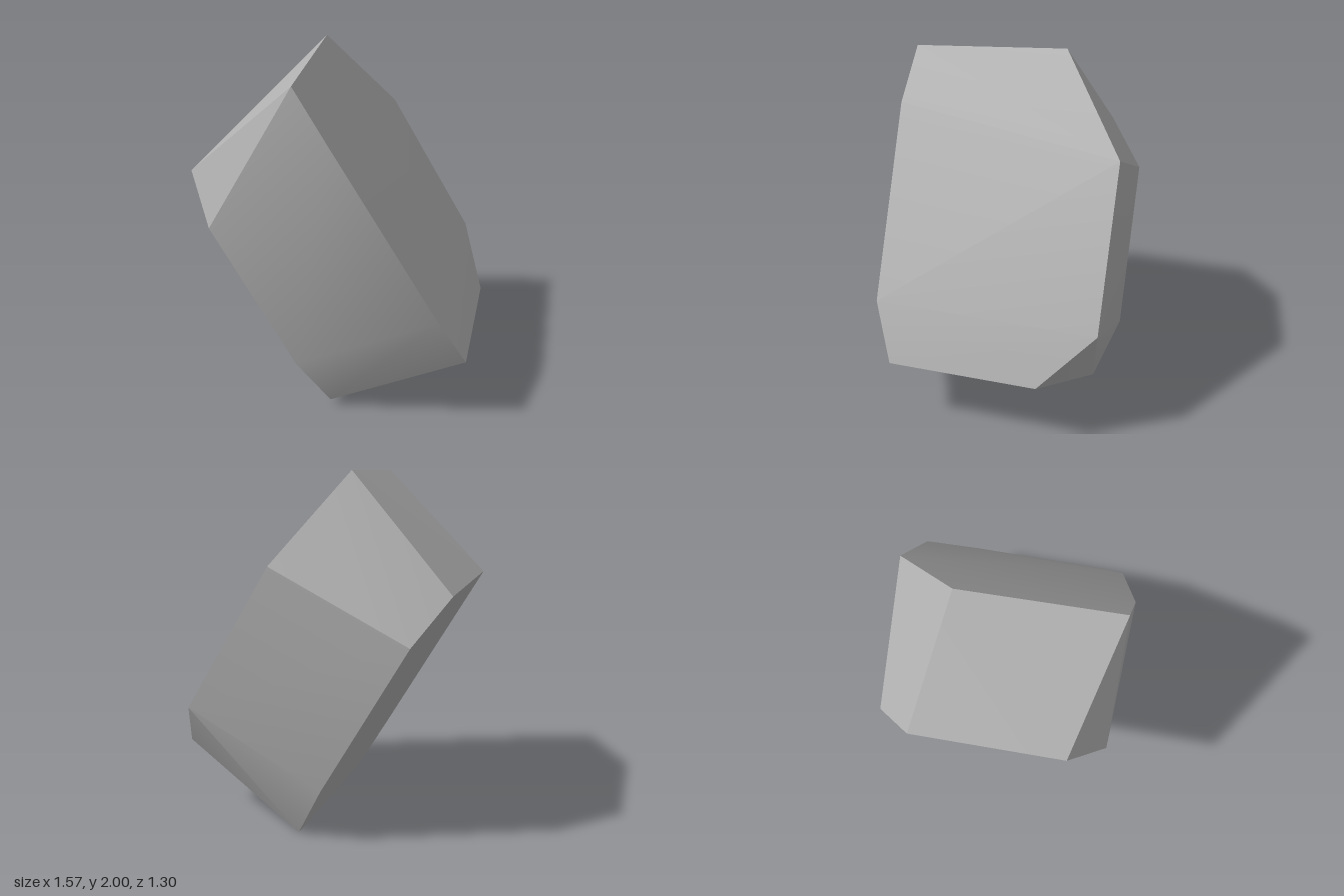
import * as THREE from 'three';
import { ConvexGeometry } from 'three/addons/geometries/ConvexGeometry.js';
import { toCreasedNormals } from 'three/addons/utils/BufferGeometryUtils.js';

// Eight corners of the slab's upper broad face, and the matching eight below
const upperRing = [
  [-0.18, 2.0, -0.26], [-0.16, 1.95, 0.61], [0.03, 1.67, 0.65], [0.62, 0.7, 0.62],
  [0.77, 0.4, 0.5], [0.78, 0.41, -0.35], [0.64, 0.71, -0.65], [0.16, 1.52, -0.64],
];
const lowerRing = [
  [-0.78, 1.38, -0.43], [-0.79, 1.38, 0.42], [-0.63, 1.14, 0.63], [-0.17, 0.34, 0.62],
  [0.0, 0.04, 0.5], [0.04, 0.0, -0.53], [-0.13, 0.31, -0.65], [-0.61, 1.14, -0.64],
];

export function createModel() {
  const group = new THREE.Group();
  group.name = 'rock';

  const stone = new THREE.MeshStandardMaterial({ color: 0xb0b0b0 });
  stone.name = 'grey stone';

  // Leaning octagonal slab: soft over shallow bends, sharp at the cut corners
  const corners = [...upperRing, ...lowerRing].map((p) => new THREE.Vector3(...p));
  const geometry = toCreasedNormals(new ConvexGeometry(corners), THREE.MathUtils.degToRad(30));
  const slab = new THREE.Mesh(geometry, stone);
  slab.name = 'stoneSlab';
  group.add(slab);

  return group;
}
